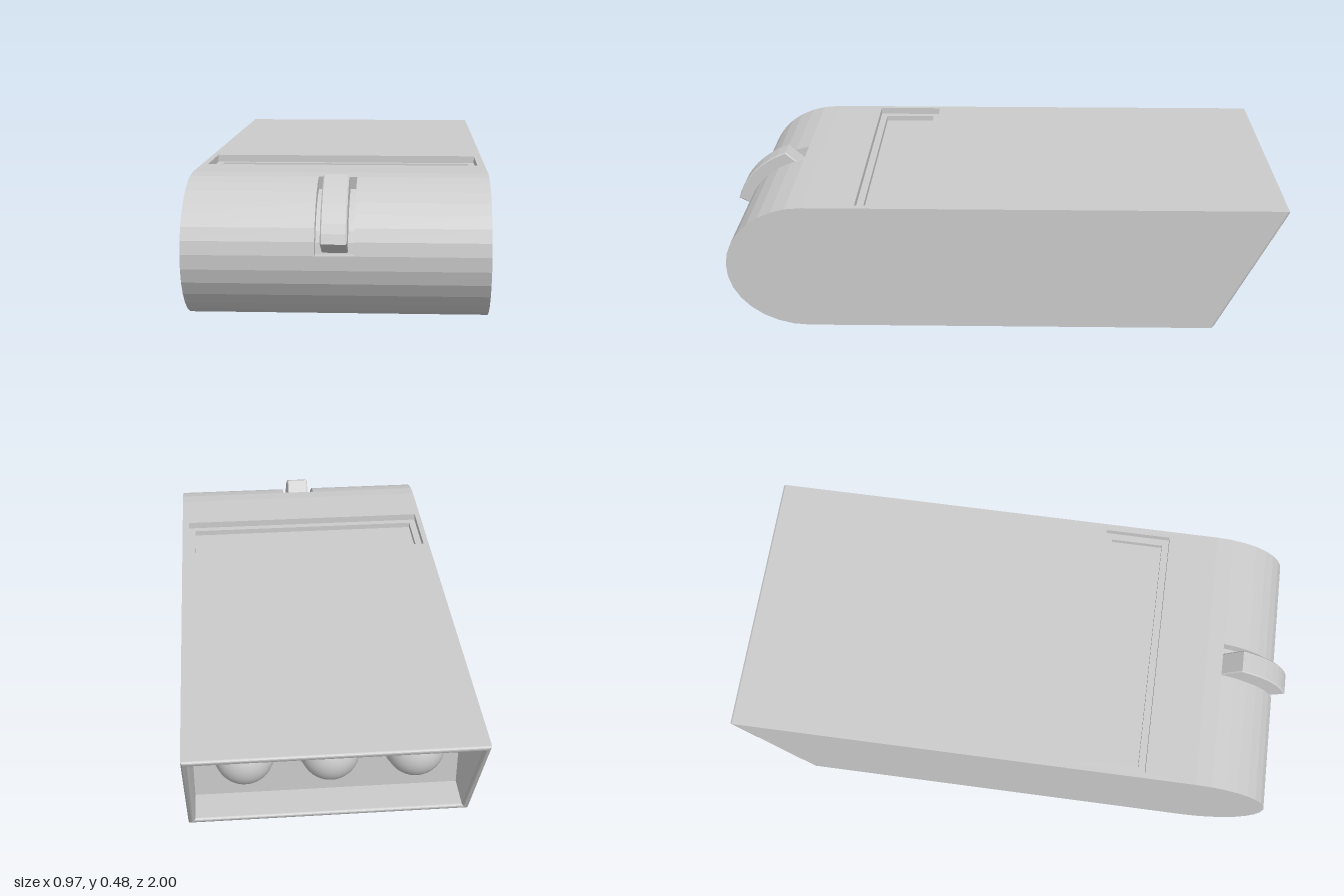
import * as THREE from 'three';
import { toCreasedNormals } from 'three/addons/utils/BufferGeometryUtils.js';

const W = 0.485, H = 0.465, CZ = 0.68, CY = H / 2;
const TOP_Z = -0.988, BOTTOM_Z = -0.755;
const SLOT = { x0: -0.065, x1: 0.06, t0: 0.05, t1: 1.36 };

const material = new THREE.MeshStandardMaterial({ color: 0xcccccc });
const flat = new THREE.MeshStandardMaterial({ color: 0xcccccc, flatShading: true });
const V = (x, y, z) => new THREE.Vector3(x, y, z);

// Quads between two polylines, facing (b - a) x (along)
function band(a, b) {
  const pts = [];
  for (let i = 0; i < a.length - 1; i++) pts.push(a[i], b[i], b[i + 1], a[i], b[i + 1], a[i + 1]);
  const g = new THREE.BufferGeometry().setFromPoints(pts);
  g.computeVertexNormals();
  return g;
}

function createModel() {
  const model = new THREE.Group();
  const add = (name, geometry, mat = material, parent = model) => {
    const mesh = new THREE.Mesh(geometry, mat);
    mesh.name = name;
    parent.add(mesh);
    return mesh;
  };

  // Side-profile helpers; points are [z, y]
  const arc = (a, b, t0, t1, n) => Array.from({ length: n + 1 }, (_, i) => {
    const t = t0 + (t1 - t0) * i / n;
    return [CZ + a * Math.cos(t), CY + b * Math.sin(t)];
  });
  const strip = (pts, x0, x1) =>
    band(pts.map(([z, y]) => V(x0, y, z)), pts.map(([z, y]) => V(x1, y, z)));
  const noseArc = (t0, t1, n) => arc(0.28, CY, t0, t1, n);
  const lower = [[BOTTOM_Z, 0], ...noseArc(-Math.PI / 2, SLOT.t0, 8)];
  const middle = noseArc(SLOT.t0, SLOT.t1, 7);
  const upper = noseArc(SLOT.t1, Math.PI / 2, 1);
  const skin = [...lower, ...middle.slice(1), upper[1]];

  // Underside and rounded nose, left open around the wheel slot
  add('skinRight', strip(skin, -W, SLOT.x0));
  add('skinLeft', strip(skin, SLOT.x1, W));
  add('skinBelowSlot', strip(lower, SLOT.x0, SLOT.x1));
  add('skinAboveSlot', strip(upper, SLOT.x0, SLOT.x1));

  // Flat side walls
  for (const s of [1, -1]) {
    const shape = new THREE.Shape([...skin, [TOP_Z, H]].map(([z, y]) => new THREE.Vector2(-s * z, y)));
    const wall = new THREE.ShapeGeometry(shape).rotateY(s * Math.PI / 2).translate(s * W, 0, 0);
    add(s > 0 ? 'leftWall' : 'rightWall', wall);
  }

  // Wheel slot: floor with end walls, and two cheeks
  const slotFloor = arc(0.235, 0.19, SLOT.t0, SLOT.t1, 7);
  add('slotFloor', strip([middle[0], ...slotFloor, middle[7]], SLOT.x0, SLOT.x1));
  const at = (pts, x) => pts.map(([z, y]) => V(x, y, z));
  add('slotCheekRight', band(at(middle, SLOT.x0), at(slotFloor, SLOT.x0)));
  add('slotCheekLeft', band(at(slotFloor, SLOT.x1), at(middle, SLOT.x1)));

  // Thumb wheel segment standing out of the slot
  const wheelPts = [...arc(0.328, 0.268, 0.215, 1.16, 8), ...arc(0.23, 0.185, 1.33, 0.06, 6)];
  const wheelShape = new THREE.Shape(wheelPts.map(([z, y]) => new THREE.Vector2(-z, y)));
  const wheel = new THREE.ExtrudeGeometry(wheelShape, {
    depth: 0.075, bevelThickness: 0.004, bevelSize: 0.004, bevelOffset: -0.004, bevelSegments: 1,
  }).rotateY(Math.PI / 2).translate(-0.041, 0, 0);
  add('thumbWheel', wheel, flat);

  // Flat top with an opening for the label recess
  const rect = (x0, x1, z0, z1, y) =>
    [V(x0, y, z0), V(x0, y, z1), V(x1, y, z1), V(x1, y, z0), V(x0, y, z0)];
  const toShape = (p) => p.slice(0, 4).map((v) => new THREE.Vector2(v.x, -v.z));
  const outer = [-0.465, 0.46, 0.26, 0.5], inner = [-0.44, 0.435, 0.285, 0.475];
  const top = new THREE.Shape(toShape(rect(-W, W, TOP_Z, CZ, 0)));
  top.holes.push(new THREE.Path(toShape(rect(...outer, 0))));
  add('topPanel', new THREE.ShapeGeometry(top).rotateX(-Math.PI / 2).translate(0, H, 0));

  // Stepped pocket: walls between successive loops, then a floor
  const pocket = (name, rings) => {
    const group = new THREE.Group();
    group.name = name;
    model.add(group);
    for (let k = 0; k < rings.length - 1; k++) add('wall', band(rings[k + 1], rings[k]), material, group);
    const p = rings[rings.length - 1];
    add('floor', band([p[3], p[2]], [p[0], p[1]]), material, group);
  };
  pocket('labelRecess', [
    rect(...outer, H), rect(...outer, H - 0.025), rect(...inner, H - 0.025), rect(...inner, H - 0.045),
  ]);

  // Slanted back opening: rounded rim, then the lamp bay
  const backLoop = (inset, push, fixedZ) => {
    const X = W - inset, y0 = inset, y1 = H - inset;
    const z = (y) => fixedZ ?? BOTTOM_Z + (TOP_Z - BOTTOM_Z) * y / H - push;
    return [[-X, y0], [-X, y1], [X, y1], [X, y0], [-X, y0]].map(([x, y]) => V(x, y, z(y)));
  };
  const R = 0.0125, steps = 8;
  const rim = [];
  for (let k = 0; k <= steps; k++) {
    const a = Math.PI * k / steps;
    rim.push(backLoop(R * (1 - Math.cos(a)), R * Math.sin(a)));
  }
  const rimPositions = [];
  for (let k = 0; k < steps; k++) rimPositions.push(...band(rim[k + 1], rim[k]).attributes.position.array);
  const rimGeometry = new THREE.BufferGeometry();
  rimGeometry.setAttribute('position', new THREE.Float32BufferAttribute(rimPositions, 3));
  add('backRim', toCreasedNormals(rimGeometry, 0.6));
  const PANEL_Z = -0.65;
  pocket('lampBay', [rim[steps], backLoop(2 * R, 0, PANEL_Z)]);

  // Three domed lamps in collars, pointing backwards
  const collarProfile = [[0.092, 0], [0.092, 0.07], [0.107, 0.07], [0.107, 0.105], [0.098, 0.112]]
    .map(([r, y]) => new THREE.Vector2(r, y));
  const collar = toCreasedNormals(new THREE.LatheGeometry(collarProfile, 40), 0.5);
  const dome = new THREE.SphereGeometry(0.1, 40, 16, 0, Math.PI * 2, 0, Math.PI / 2);
  for (const x of [-0.285, 0, 0.285]) {
    const lamp = new THREE.Group();
    lamp.name = 'lamp';
    add('collar', collar, material, lamp);
    add('dome', dome, material, lamp).position.y = 0.108;
    lamp.rotation.x = -Math.PI / 2;
    lamp.position.set(x, 0.29, PANEL_Z);
    model.add(lamp);
  }
  return model;
}

export { createModel };
